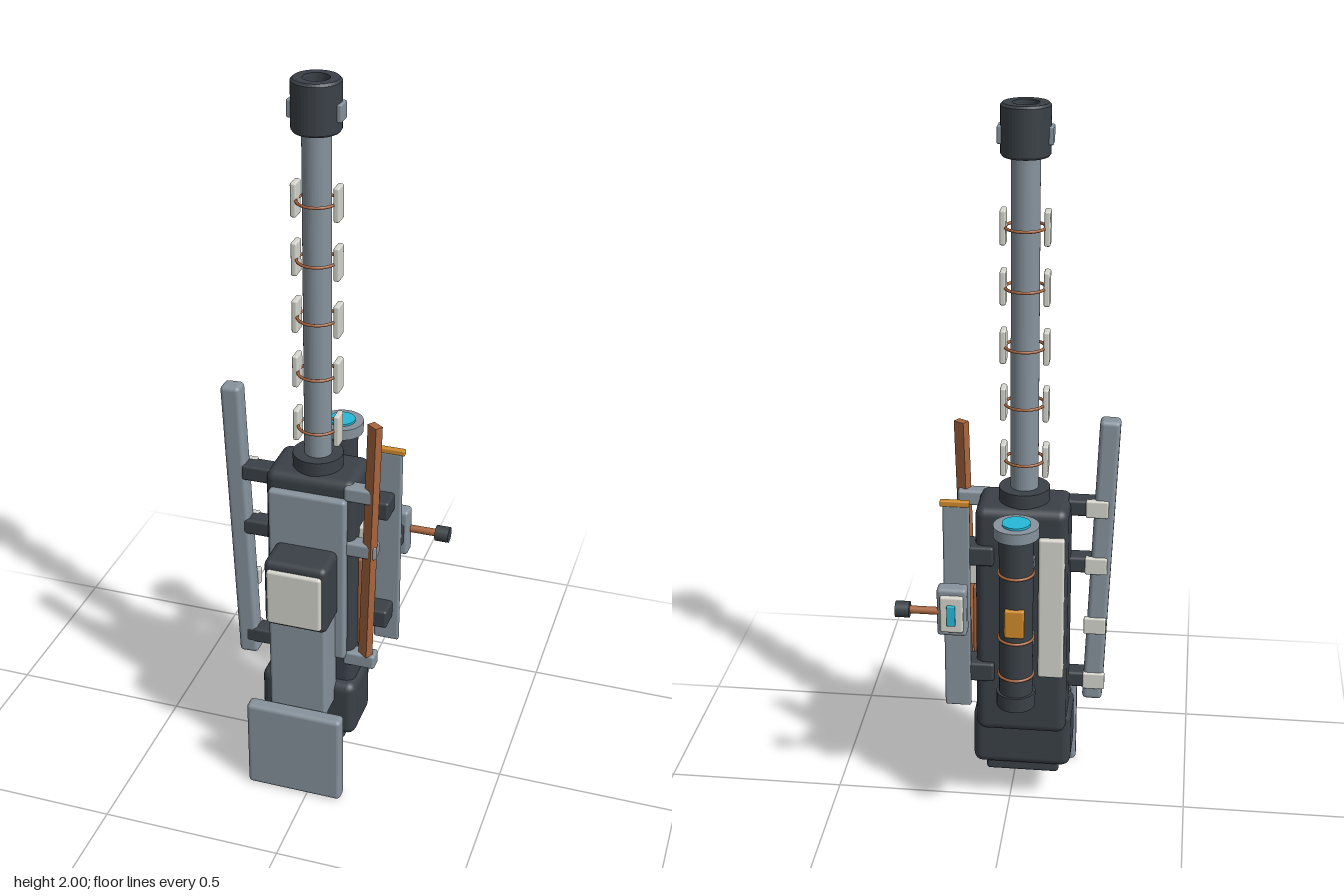
import * as THREE from 'three';
import { RoundedBoxGeometry } from 'three/addons/geometries/RoundedBoxGeometry.js';

const material = (color) => new THREE.MeshStandardMaterial({ color });
const DARK = material(0x3a4147), GREY = material(0x87939d), WHITE = material(0xd6d6ce);
const BROWN = material(0xa9663e), ORANGE = material(0xd08a2a), CYAN = material(0x25b9d9);

export function createModel() {
  const model = new THREE.Group();

  const add = (name, geometry, mat, x = 0, y = 0, z = 0) => {
    const mesh = new THREE.Mesh(geometry, mat);
    mesh.name = name;
    mesh.position.set(x, y, z);
    model.add(mesh);
    return mesh;
  };
  // Softly rounded box given by its limits on each axis
  const box = (name, mat, [x0, x1], [y0, y1], [z0, z1], r = 0.006) => {
    const w = x1 - x0, h = y1 - y0, d = z1 - z0;
    const radius = Math.min(r, 0.45 * Math.min(w, h, d));
    return add(name, new RoundedBoxGeometry(w, h, d, 3, radius), mat,
      (x0 + x1) / 2, (y0 + y1) / 2, (z0 + z1) / 2);
  };
  // Upright cylinder from y0 to y1
  const post = (name, mat, r, y0, y1, x, z) =>
    add(name, new THREE.CylinderGeometry(r, r, y1 - y0, 32), mat, x, (y0 + y1) / 2, z);
  // Thin horizontal band
  const band = (name, r, y, x, z) => {
    add(name, new THREE.TorusGeometry(r, 0.004, 8, 32), BROWN, x, y, z).rotation.x = Math.PI / 2;
  };

  const BX = -0.038, BZ = 0.015; // barrel axis

  // Receiver and its stock block
  box('receiver', DARK, [-0.162, 0.087], [0.26, 0.945], [-0.068, 0.098], 0.026);
  box('stockBlock', DARK, [-0.174, 0.1], [0.13, 0.305], [-0.035, 0.125], 0.026);
  box('stockBase', DARK, [-0.14, 0.065], [0.1, 0.15], [-0.015, 0.105], 0.01);
  for (const x of [-0.085, 0.01])
    box('baseSlot', BROWN, [x - 0.022, x + 0.022], [0.097, 0.105], [0.035, 0.049], 0.002);
  box('frontPlate', GREY, [-0.147, 0.07], [0.39, 0.9], [0.09, 0.119], 0.01);
  box('backPanel', WHITE, [-0.155, -0.085], [0.45, 0.87], [-0.082, -0.06], 0.007);
  box('sideGrip', BROWN, [0.08, 0.1], [0.4, 0.685], [-0.013, 0.05]);
  box('sidePlate', WHITE, [0.08, 0.112], [0.69, 0.785], [-0.01, 0.045]);

  // Front housing, neck and foot
  box('neck', GREY, [-0.12, 0.042], [0.245, 0.6], [0.1, 0.202], 0.01);
  box('housing', DARK, [-0.125, 0.05], [0.54, 0.745], [0.11, 0.222], 0.018);
  box('housingPanel', WHITE, [-0.114, 0.038], [0.555, 0.722], [0.21, 0.233], 0.008);
  box('foot', GREY, [-0.174, 0.098], [0, 0.275], [0.207, 0.25], 0.012);
  box('footBacking', DARK, [-0.158, 0.083], [0.02, 0.255], [0.192, 0.212], 0.008);
  for (const x of [-0.13, 0.055]) for (const y of [0.05, 0.225]) {
    const screw = add('footScrew', new THREE.CylinderGeometry(0.009, 0.009, 0.008, 12), BROWN, x, y, 0.191);
    screw.rotation.x = Math.PI / 2;
  }

  // Barrel with a hollow muzzle, turned around the axis
  const lathe = (name, mat, points) => {
    const geometry = new THREE.LatheGeometry(points.map(([r, y]) => new THREE.Vector2(r, y)), 40);
    geometry.deleteAttribute('normal');
    const flat = geometry.toNonIndexed();
    flat.computeVertexNormals();
    return add(name, flat, mat, BX, 0, BZ);
  };
  lathe('barrel', GREY, [[0.037, 0.94], [0.037, 1.955], [0.02, 1.955], [0.02, 1.85]]);
  post('boreEnd', DARK, 0.02, 1.85, 1.87, BX, BZ);
  lathe('muzzle', DARK, [[0.034, 1.87], [0.059, 1.87], [0.063, 1.876], [0.063, 1.994],
    [0.057, 2], [0.034, 2], [0.034, 1.94]]);
  post('barrelCollar', DARK, 0.068, 0.93, 0.982, BX, BZ);
  for (const s of [-1, 1]) {
    const x = BX + s * 0.062;
    box('muzzleLug', GREY, [x - 0.008, x + 0.008], [1.9, 1.945], [BZ - 0.022, BZ + 0.022], 0.004);
  }
  // Plates strapped to both sides of the barrel
  for (const y of [1.06, 1.218, 1.375, 1.533, 1.69]) {
    band('barrelBand', 0.052, y, BX, BZ);
    for (const s of [-1, 1]) {
      const x = BX + s * 0.056;
      box('barrelPlate', WHITE, [x - 0.008, x + 0.008], [y - 0.045, y + 0.045], [BZ - 0.021, BZ + 0.021], 0.005);
    }
  }

  // Tilted rail on the right with its arms
  const rail = add('rail', new RoundedBoxGeometry(0.055, 0.845, 0.05, 3, 0.012), GREY, -0.245, 0.745, 0.054);
  rail.rotation.z = 0.04;
  for (const y of [0.915, 0.745, 0.385])
    box('railArm', DARK, [-0.235, -0.15], [y - 0.023, y + 0.023], [0.026, 0.08], 0.008);
  for (const y of [0.915, 0.745, 0.56, 0.385])
    box('railClip', WHITE, [-0.263, -0.202], [y - 0.025, y + 0.025], [0.022, 0.04], 0.005);

  // Leaning rod on the left with its arms
  const rod = add('rod', new THREE.BoxGeometry(0.034, 0.725, 0.022), BROWN, 0.131, 0.767, 0.09);
  rod.rotation.set(0, -0.6, -0.027, 'ZYX');
  for (const y of [0.915, 0.745, 0.385])
    box('rodArm', GREY, [0.06, 0.15], [y - 0.022, y + 0.022], [0.06, 0.103], 0.008);

  // Slab on the left
  box('slab', GREY, [0.098, 0.17], [0.35, 0.96], [-0.085, -0.068]);
  box('slabCap', ORANGE, [0.098, 0.177], [0.955, 0.972], [-0.086, -0.069], 0.004);
  for (const y of [0.81, 0.455])
    box('slabArm', DARK, [0.035, 0.152], [y - 0.028, y + 0.028], [-0.082, -0.007], 0.008);

  // Control unit with a crank
  box('controlNeck', DARK, [0.11, 0.167], [0.65, 0.71], [-0.125, -0.08]);
  box('controlBox', GREY, [0.098, 0.178], [0.61, 0.75], [-0.162, -0.116], 0.01);
  box('controlPlate', WHITE, [0.106, 0.168], [0.627, 0.733], [-0.174, -0.155]);
  box('controlLight', CYAN, [0.126, 0.149], [0.65, 0.71], [-0.181, -0.165], 0.003);
  const crank = post('crank', BROWN, 0.0105, 0.637, 0.723, 0.213, -0.151);
  crank.rotation.z = Math.PI / 2;
  const knob = post('crankKnob', DARK, 0.022, 0.661, 0.699, 0.27, -0.151);
  knob.rotation.z = Math.PI / 2;

  // Sighting tube at the back
  const SZ = -0.194;
  post('sightTube', DARK, 0.045, 0.47, 0.94, BX, SZ);
  post('sightEnd', DARK, 0.052, 0.436, 0.478, BX, SZ);
  post('sightCap', GREY, 0.06, 0.935, 0.966, BX, SZ);
  post('sightLens', CYAN, 0.037, 0.95, 0.972, BX, SZ);
  for (const y of [0.83, 0.64, 0.53]) band('sightBand', 0.046, y, BX, SZ);
  box('sightMarker', ORANGE, [BX - 0.026, BX + 0.026], [0.66, 0.742], [-0.246, -0.215]);
  for (const y of [0.8, 0.57])
    box('sightMount', GREY, [-0.075, 0], [y - 0.019, y + 0.019], [-0.165, -0.06], 0.007);

  return model;
}
